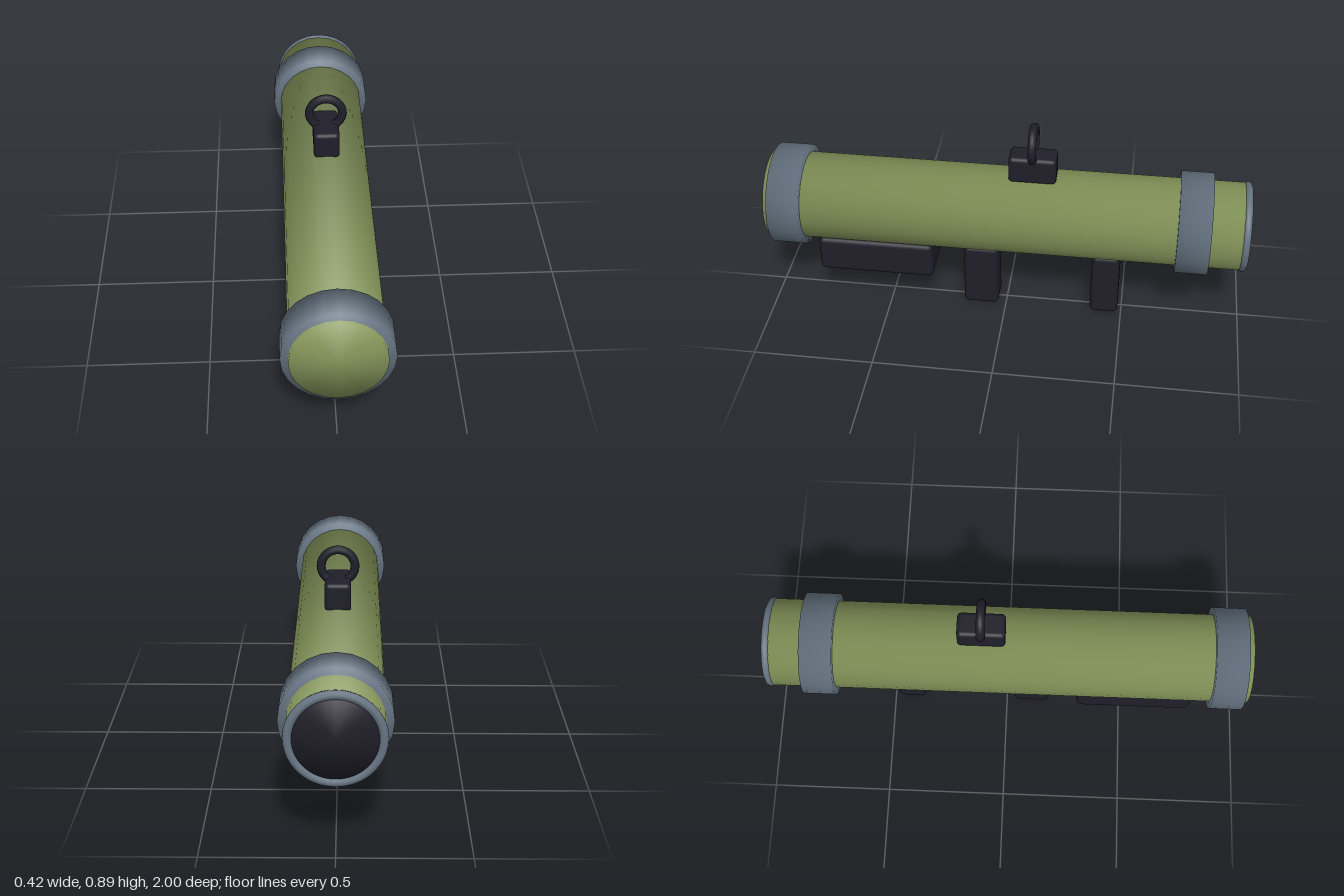
import * as THREE from 'three';
import { RoundedBoxGeometry } from 'three/addons/geometries/RoundedBoxGeometry.js';

const AXIS_Y = 0.472; // height of the tube's axis
const SIDES = 24;

const material = (name, color) => {
  const m = new THREE.MeshStandardMaterial({ color });
  m.name = name;
  return m;
};

export function createModel() {
  const model = new THREE.Group();
  model.name = 'shoulderLauncher';
  const olive = material('olive', 0x87985c);
  const steel = material('steelGrey', 0x667482);
  const dark = material('darkGrip', 0x201f2a);

  const add = (name, geometry, mat, x, y, z) => {
    const mesh = new THREE.Mesh(geometry, mat);
    mesh.name = name;
    mesh.position.set(x, y, z);
    model.add(mesh);
  };

  // Closed cylinder along z; rim normals lean halfway between side and cap
  const drum = (name, radius, z0, z1, mat) => {
    const g = new THREE.CylinderGeometry(radius, radius, z1 - z0, SIDES);
    g.rotateX(Math.PI / 2);
    const { position, normal } = g.attributes;
    const n = new THREE.Vector3();
    for (let i = 0; i < position.count; i++) {
      n.set(position.getX(i) / radius, position.getY(i) / radius, Math.sign(position.getZ(i))).normalize();
      normal.setXYZ(i, n.x, n.y, n.z);
    }
    add(name, g, mat, 0, AXIS_Y, (z0 + z1) / 2);
  };

  // Rounded block given by its half width and its y and z limits
  const block = (name, halfWidth, y0, y1, z0, z1, radius) =>
    add(name, new RoundedBoxGeometry(halfWidth * 2, y1 - y0, z1 - z0, 3, radius),
      dark, 0, (y0 + y1) / 2, (z0 + z1) / 2);

  // Barrel, reinforcing bands and rear opening
  drum('barrel', 0.182, -0.985, 1, olive);
  drum('frontBand', 0.212, 0.844, 0.978, steel);
  drum('rearBand', 0.212, -0.842, -0.708, steel);
  drum('rearBore', 0.16, -0.99, -0.95, dark);
  add('rearRim', new THREE.TorusGeometry(0.17, 0.0175, 10, SIDES * 2), steel, 0, AXIS_Y, -0.9825);

  // Underside housing and grips
  block('frontHousing', 0.136, 0.177, 0.34, 0.303, 0.79, 0.022);
  block('triggerGrip', 0.064, 0, 0.298, 0.033, 0.182, 0.022);
  block('rearGrip', 0.064, 0, 0.298, -0.484, -0.365, 0.022);

  // Ring sight on its mount
  block('sightMount', 0.053, 0.64, 0.758, -0.204, -0.008, 0.018);
  add('sightRing', new THREE.TorusGeometry(0.068, 0.018, 10, 32), dark, 0, 0.803, -0.106);

  return model;
}
